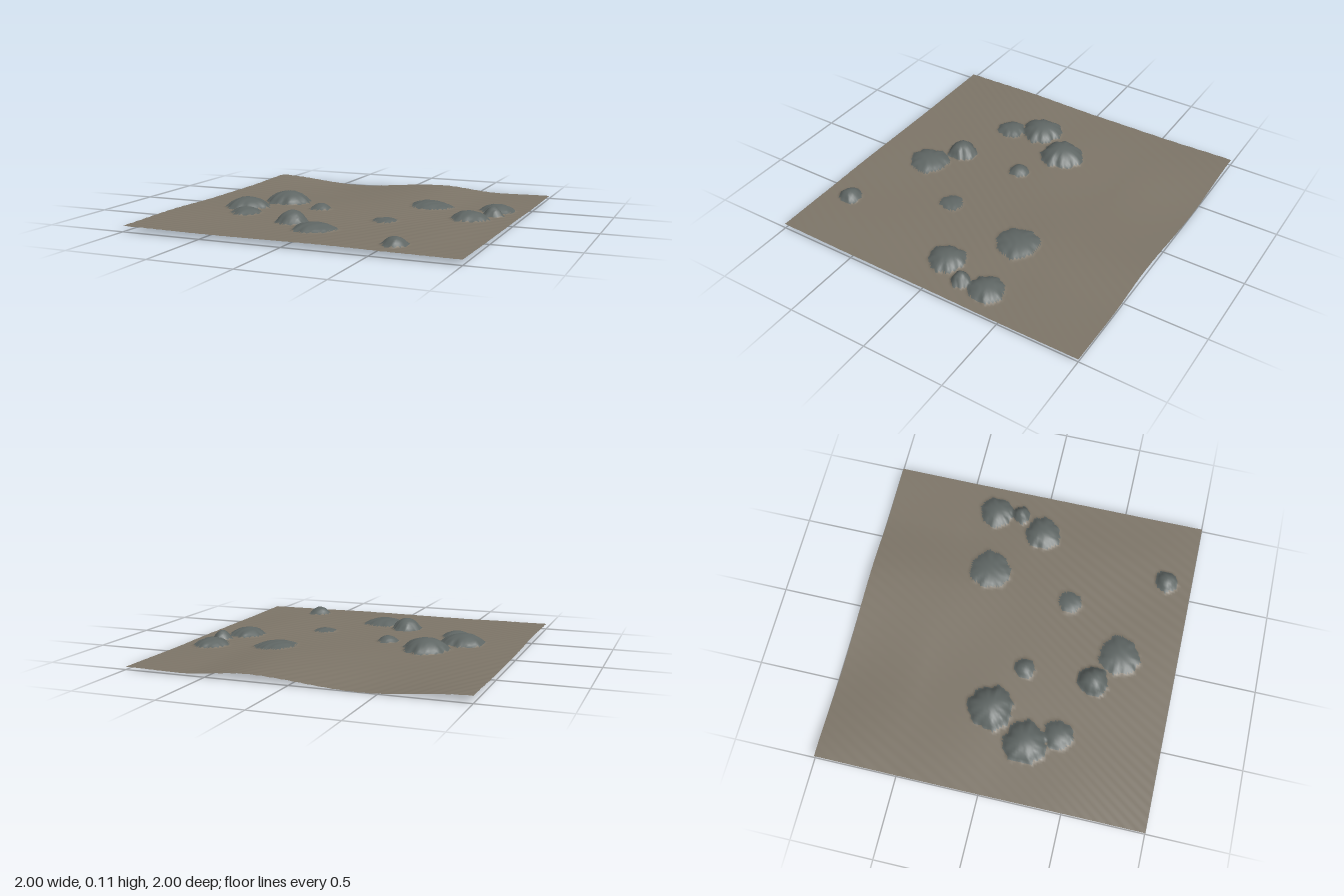
import * as THREE from 'three';

const SEGMENTS = 132;

// Broad swells of the sand: heights at the crossings of a coarse grid
const gridX = [-1, -0.4, 0.25, 0.65, 1];
const gridZ = [-1, -0.5, 0, 0.5, 1];
const swells = [
  [0.045, 0.005, 0.045, 0.016, 0.021],
  [0.036, 0.024, 0.045, 0.022, 0.02],
  [0.036, 0.04, 0.036, 0.034, 0.026],
  [0.045, 0.038, 0.034, 0.038, 0.029],
  [0.039, 0.036, 0.04, 0.036, 0.034],
];

// Boulders: x, z, radius, height of the top
const boulders = [
  [-0.47, -0.05, 0.135, 0.11],
  [-0.635, 0.2, 0.13, 0.1],
  [-0.545, 0.385, 0.09, 0.075],
  [-0.18, 0.095, 0.062, 0.075],
  [0.415, -0.265, 0.13, 0.068],
  [0.825, -0.32, 0.105, 0.07],
  [0.84, -0.16, 0.057, 0.085],
  [0.74, 0.005, 0.11, 0.08],
  [0.31, 0.275, 0.075, 0.055],
  [-0.165, 0.52, 0.09, 0.109],
  [0.03, 0.645, 0.125, 0.074],
  [0.585, 0.84, 0.068, 0.083],
];

function locate(stops, v) {
  let i = 0;
  while (i < stops.length - 2 && v > stops[i + 1]) i++;
  return [i, THREE.MathUtils.smoothstep(v, stops[i], stops[i + 1])];
}

function sandHeight(x, z) {
  const [i, u] = locate(gridX, x);
  const [j, v] = locate(gridZ, z);
  const row = (r) => THREE.MathUtils.lerp(swells[r][i], swells[r][i + 1], u);
  const base = THREE.MathUtils.lerp(row(j), row(j + 1), v);
  // fine diagonal wind ripples, stronger in some patches
  const patch = 0.6 + 0.4 * Math.sin(3.1 * x + 1.7 * z) * Math.cos(2.3 * z - x);
  const bend = 0.05 * Math.sin(3 * z + 2 * x);
  return base + 0.0013 * patch * Math.sin(115 * (0.85 * x + 0.53 * z + bend));
}

// Height a boulder adds to the sand: a dome with a lobed outline
function boulderLift(x, z) {
  let lift = 0;
  boulders.forEach(([cx, cz, radius, top], n) => {
    const a = Math.atan2(z - cz, x - cx);
    const lobes = 1 + 0.05 * Math.sin(3 * a + n * 2.1) + 0.04 * Math.sin(7 * a + n)
      + 0.035 * Math.sin(12 * a + n * 1.3);
    const d = Math.hypot(x - cx, z - cz) / (radius * lobes);
    if (d >= 1) return;
    const dome = (top - sandHeight(cx, cz)) * Math.pow(1 - d * d, 0.75);
    lift = Math.max(lift, dome * (1 + 0.05 * d * Math.sin(9 * a + n)));
  });
  return lift;
}

export function createModel() {
  const group = new THREE.Group();
  group.name = 'rockySandPatch';

  const surface = new THREE.PlaneGeometry(2, 2, SEGMENTS, SEGMENTS).rotateX(-Math.PI / 2);
  const pos = surface.attributes.position;
  const lifts = [];
  let lowest = Infinity;
  for (let i = 0; i < pos.count; i++) {
    const x = pos.getX(i), z = pos.getZ(i);
    lifts.push(boulderLift(x, z));
    pos.setY(i, sandHeight(x, z) + lifts[i]);
    lowest = Math.min(lowest, pos.getY(i));
  }
  surface.translate(0, -lowest, 0);
  surface.computeVertexNormals();

  // Sort the faces into sand and boulders; both share the same smooth normals
  const faces = { sand: [], boulders: [] };
  const index = surface.index.array;
  for (let f = 0; f < index.length; f += 3) {
    const [a, b, c] = [index[f], index[f + 1], index[f + 2]];
    const raised = (lifts[a] + lifts[b] + lifts[c]) / 3 > 0.004;
    faces[raised ? 'boulders' : 'sand'].push(a, b, c);
  }
  const colors = { sand: 0x7d7568, boulders: 0x5f6664 };
  for (const name of Object.keys(faces)) {
    const geometry = surface.clone();
    geometry.setIndex(faces[name]);
    const material = new THREE.MeshStandardMaterial({ color: colors[name], side: THREE.DoubleSide });
    const mesh = new THREE.Mesh(geometry, material);
    mesh.name = name;
    group.add(mesh);
  }
  return group;
}
